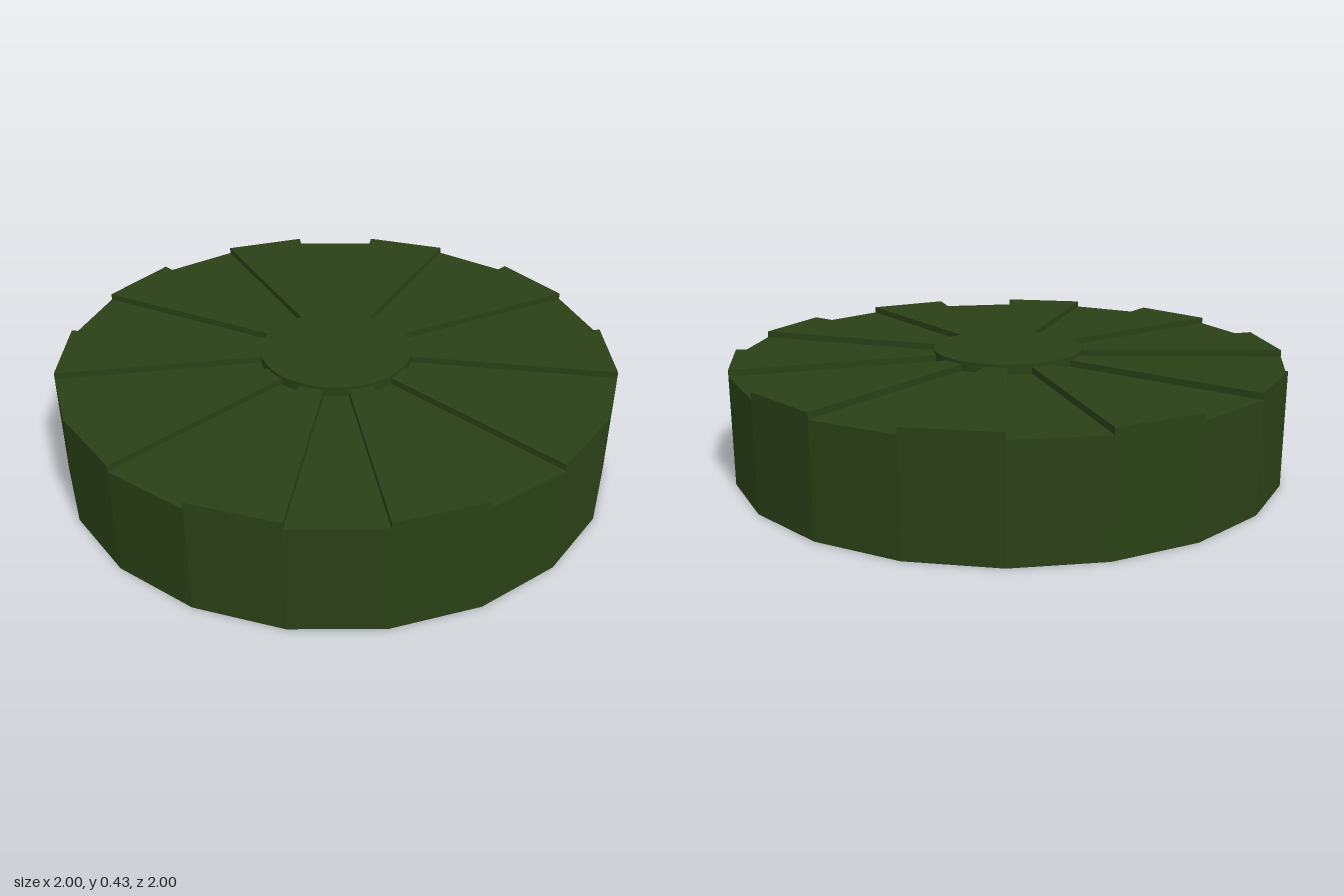
import * as THREE from 'three';

const SIDES = 20;
const STEP = (Math.PI * 2) / SIDES;
const LOW = 0.39, HIGH = 0.413, HUB_TOP = 0.425, HUB_RADIUS = 0.272;

// Triangular sector from the centre to one flat of the rim, lying on the drum
function sectorGeometry(start) {
  const shape = new THREE.Shape([
    new THREE.Vector2(0, 0),
    new THREE.Vector2(Math.sin(start), -Math.cos(start)),
    new THREE.Vector2(Math.sin(start + STEP), -Math.cos(start + STEP)),
  ]);
  const geometry = new THREE.ExtrudeGeometry(shape, { depth: HIGH - LOW, bevelEnabled: false });
  return geometry.rotateX(-Math.PI / 2).translate(0, LOW, 0);
}

export function createModel() {
  const model = new THREE.Group();
  model.name = 'ribbedDrum';
  const flat = new THREE.MeshStandardMaterial({ color: 0x2a4016, flatShading: true });
  const smooth = new THREE.MeshStandardMaterial({ color: 0x2a4016 });

  const add = (name, geometry, material, parent = model) => {
    const mesh = new THREE.Mesh(geometry, material);
    mesh.name = name;
    parent.add(mesh);
  };

  // Twenty-sided drum, up to the level of the sunken sectors
  add('drum', new THREE.CylinderGeometry(1, 1, LOW, SIDES).translate(0, LOW / 2, 0), flat);

  // Every other sector is raised
  const sectors = new THREE.Group();
  sectors.name = 'raisedSectors';
  for (let i = 0; i < SIDES; i += 2) add('raisedSector', sectorGeometry(i * STEP), flat, sectors);
  model.add(sectors);

  // Round hub standing just above the sectors
  const hubHeight = HUB_TOP - LOW;
  add('hub', new THREE.CylinderGeometry(HUB_RADIUS, HUB_RADIUS, hubHeight, 40)
    .translate(0, LOW + hubHeight / 2, 0), smooth);

  return model;
}
